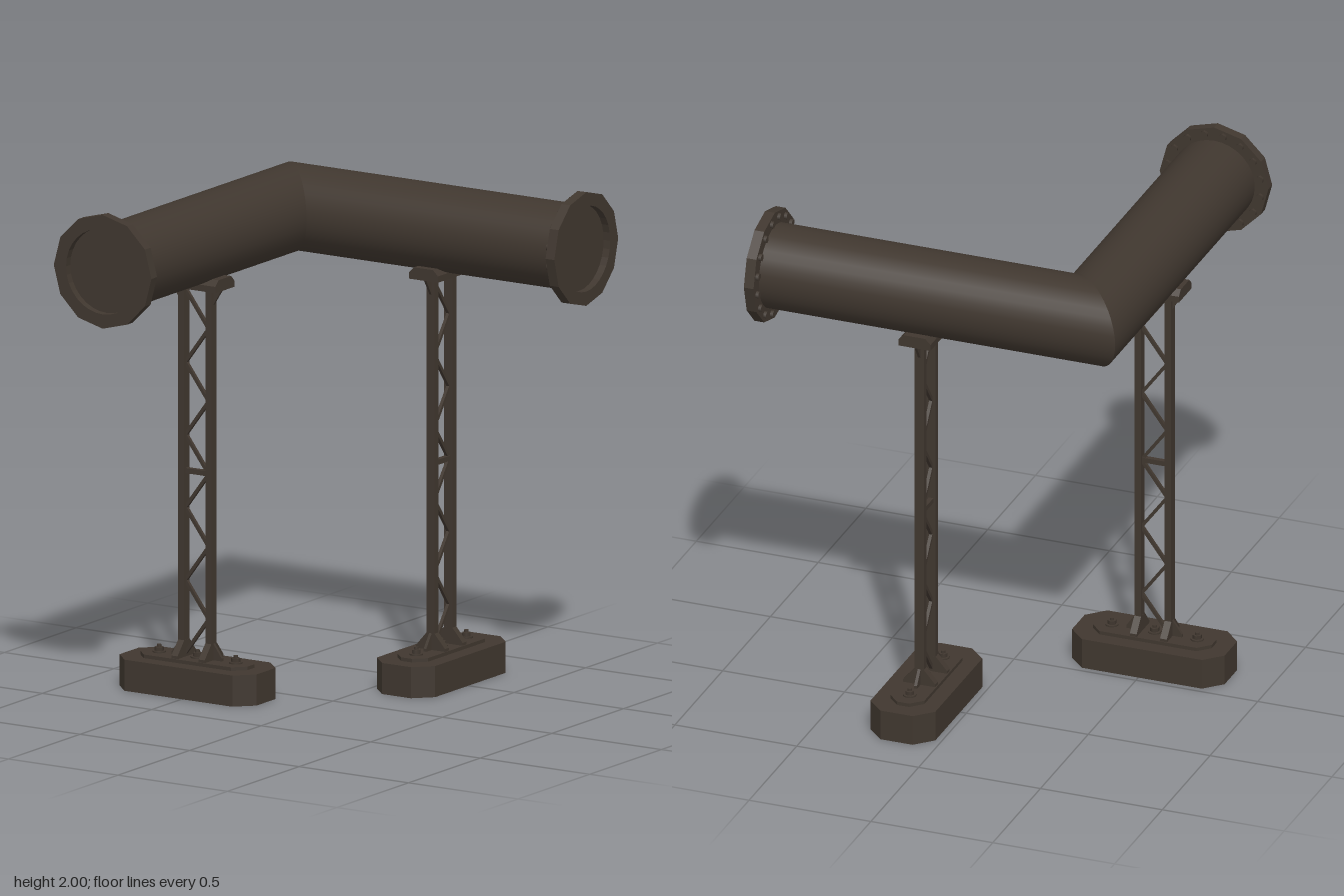
import * as THREE from 'three';

const steel = new THREE.MeshStandardMaterial({ color: 0x40372f, side: THREE.DoubleSide });
steel.name = 'darkSteel';

const AXIS_Y = 1.777, PIPE_R = 0.167, OFFSET = 0.515, END = 0.82;

function add(parent, name, geometry, x = 0, y = 0, z = 0) {
  const mesh = new THREE.Mesh(geometry, steel);
  mesh.name = name;
  mesh.position.set(x, y, z);
  parent.add(mesh);
  return mesh;
}

// Corners of a rectangle with cut corners
function octagon(hx, hz, c) {
  return [[hx, hz - c], [hx - c, hz], [c - hx, hz], [-hx, hz - c],
    [-hx, c - hz], [c - hx, -hz], [hx - c, -hz], [hx, c - hz]];
}

// Cut-corner block with walls and top, open underneath
function octagonShell(hx, hz, c, height) {
  const pts = octagon(hx, hz, c), pos = [];
  pts.forEach(([x0, z0], i) => {
    const [x1, z1] = pts[(i + 1) % 8];
    pos.push(x0, 0, z0, x0, height, z0, x1, height, z1);
    pos.push(x0, 0, z0, x1, height, z1, x1, 0, z1);
    pos.push(0, height, 0, x1, height, z1, x0, height, z0);
  });
  const g = new THREE.BufferGeometry();
  g.setAttribute('position', new THREE.Float32BufferAttribute(pos, 3));
  g.computeVertexNormals();
  return g;
}

// Flat plate cut from a 2D outline, centred on its thickness
function plate(points, depth) {
  const shape = new THREE.Shape(points.map(p => new THREE.Vector2(...p)));
  return new THREE.ExtrudeGeometry(shape, { depth, bevelEnabled: false }).translate(0, 0, -depth / 2);
}

// Square bar between two points in the XY plane
function bar(parent, name, x0, y0, x1, y1, w, d) {
  const m = add(parent, name, new THREE.BoxGeometry(Math.hypot(x1 - x0, y1 - y0), w, d),
    (x0 + x1) / 2, (y0 + y1) / 2, 0);
  m.rotation.z = Math.atan2(y1 - y0, x1 - x0);
}

function createSupport() {
  const g = new THREE.Group();
  g.name = 'support';

  // Footing and base plate
  add(g, 'footing', octagonShell(0.313, 0.133, 0.067, 0.122));
  add(g, 'basePlate', octagonShell(0.244, 0.07, 0.045, 0.014), 0, 0.122, 0);

  // Anchor bolts
  for (const x of [-0.175, 0, 0.175]) {
    add(g, 'anchorWasher', new THREE.CylinderGeometry(0.026, 0.026, 0.006, 12), x, 0.139, 0);
    add(g, 'anchorNut', new THREE.CylinderGeometry(0.018, 0.018, 0.016, 6), x, 0.149, 0);
    add(g, 'anchorStud', new THREE.CylinderGeometry(0.009, 0.009, 0.012, 8), x, 0.161, 0);
  }

  // Columns with gussets at foot and head
  const foot = plate([[0, 0], [0.052, 0], [0.052, 0.012], [0.014, 0.066], [0, 0.066]], 0.012);
  const sideFoot = plate([[0, 0], [0.066, 0], [0.066, 0.012], [0.019, 0.066], [0, 0.066]], 0.028);
  const head = plate([[0, 0], [0.014, 0], [0.054, 0.065], [0.054, 0.085], [0, 0.085]], 0.01);
  for (const s of [-1, 1]) {
    add(g, 'column', new THREE.BoxGeometry(0.027, 1.47, 0.038), s * 0.062, 0.865, 0);
    const turn = s < 0 ? Math.PI : 0;
    add(g, 'footGusset', foot, s * 0.062, 0.135, 0).rotation.y = turn;
    add(g, 'headGusset', head, s * 0.062, 1.53, 0).rotation.y = turn;
    for (const t of [-1, 1]) {
      add(g, 'sideGusset', sideFoot, s * 0.062, 0.135, 0).rotation.y = t * Math.PI / 2;
    }
  }

  // Zigzag lattice and middle tie
  for (let i = 0; i < 10; i++) {
    const s = i % 2 ? 1 : -1;
    bar(g, 'latticeBar', s * 0.053, 0.15 + i * 0.1425, -s * 0.053, 0.15 + (i + 1) * 0.1425, 0.013, 0.013);
  }
  bar(g, 'middleTie', -0.06, 0.865, 0.06, 0.865, 0.02, 0.02);

  // Saddle under the pipe, sides sloping in at the top
  const saddle = plate([[-0.066, 0], [0.066, 0], [0.066, 0.025], [0.044, 0.047], [-0.044, 0.047], [-0.066, 0.025]], 0.25);
  add(g, 'saddle', saddle, 0, 1.593, 0).rotation.y = Math.PI / 2;
  return g;
}

// One pipe arm along +z with its mitred corner end, flange and support
function createArm(side) {
  const g = new THREE.Group(), x0 = side * OFFSET;
  g.name = 'pipeArm';

  // Pipe, with the inner end sheared to the mitre plane
  const pipe = new THREE.CylinderGeometry(PIPE_R, PIPE_R, 2, 32, 1, true).rotateX(Math.PI / 2).translate(x0, 0, 0);
  const p = pipe.attributes.position;
  for (let i = 0; i < p.count; i++) p.setZ(i, p.getZ(i) < 0 ? -side * p.getX(i) : 0.785);
  add(g, 'pipe', pipe, 0, AXIS_Y, 0);
  add(g, 'pipeCap', new THREE.CircleGeometry(0.17, 32), x0, AXIS_Y, 0.79);

  // Twelve-sided flange ring
  const ring = new THREE.Shape();
  for (let i = 0; i < 12; i++) {
    const a = i * Math.PI / 6;
    ring[i ? 'lineTo' : 'moveTo'](0.223 * Math.cos(a), 0.223 * Math.sin(a));
  }
  ring.holes.push(new THREE.Path().absarc(0, 0, PIPE_R, 0, Math.PI * 2, true));
  add(g, 'flange', new THREE.ExtrudeGeometry(ring, { depth: 0.04, bevelEnabled: false, curveSegments: 16 }),
    x0, AXIS_Y, END - 0.04);

  // Flange bolts
  const bolt = new THREE.CylinderGeometry(0.015, 0.015, 0.014, 6).rotateX(Math.PI / 2);
  for (let i = 0; i < 16; i++) {
    const a = (i + 0.5) * Math.PI / 8;
    add(g, 'flangeBolt', bolt, x0 + 0.194 * Math.cos(a), AXIS_Y + 0.194 * Math.sin(a), 0.775);
  }

  const support = createSupport();
  support.position.set(x0, 0, 0.158);
  g.add(support);
  return g;
}

export function createModel() {
  const model = new THREE.Group();
  model.name = 'pipeCorner';
  const frontArm = createArm(-1);
  const sideArm = createArm(1);
  sideArm.rotation.y = Math.PI / 2;
  model.add(frontArm, sideArm);
  return model;
}
